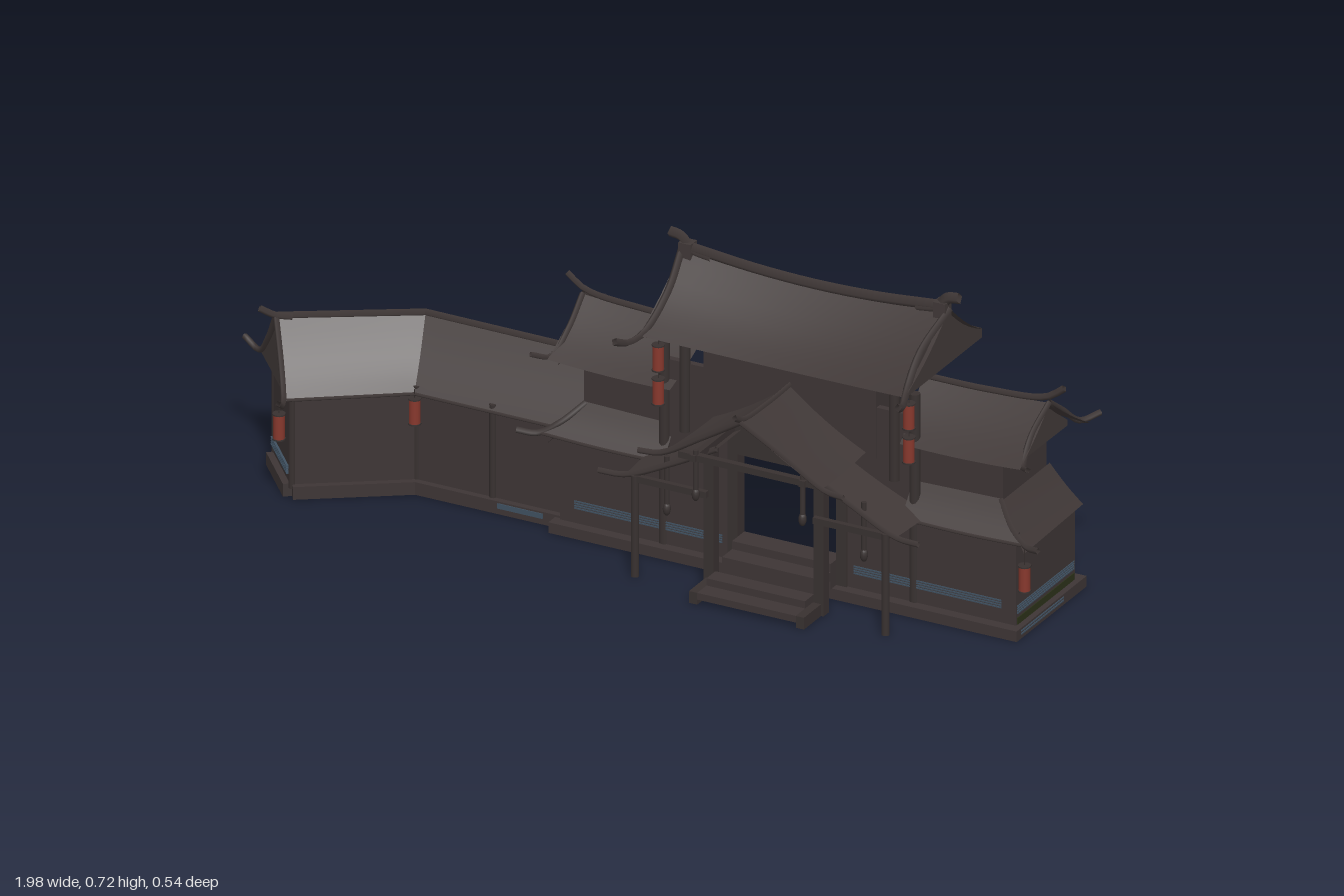
import * as THREE from 'three';

const mat = (name, color) => {
  const m = new THREE.MeshStandardMaterial({ color, side: THREE.DoubleSide });
  m.name = name;
  return m;
};
const V = (p) => new THREE.Vector3(...p);

export function createModel() {
  const roofMat = mat('dark roof', 0x403837);
  const wallMat = mat('dark wall', 0x3d3535);
  const woodMat = mat('dark timber', 0x383130);
  const redMat = mat('lantern red', 0x87382d);
  const blueMat = mat('faded blue', 0x3f5060);
  const mossMat = mat('moss green', 0x2b3119);

  const model = new THREE.Group();
  const hall = new THREE.Group();
  hall.name = 'gatehouse';
  hall.position.x = 0.35;
  const gallery = new THREE.Group();
  gallery.name = 'gallery';
  model.add(hall, gallery);

  const add = (parent, name, geo, m) => {
    const mesh = new THREE.Mesh(geo, m);
    mesh.name = name;
    parent.add(mesh);
    return mesh;
  };
  // box given by its limits on each axis
  const box = (parent, name, m, x0, x1, y0, y1, z0, z1) => {
    const b = add(parent, name, new THREE.BoxGeometry(Math.abs(x1 - x0), y1 - y0, Math.abs(z1 - z0)), m);
    b.position.set((x0 + x1) / 2, (y0 + y1) / 2, (z0 + z1) / 2);
  };
  // upright slab between two plan points [x, z]
  const slab = (parent, name, m, a, b, y0, y1, t) => {
    const dx = b[0] - a[0], dz = b[1] - a[1];
    const s = add(parent, name, new THREE.BoxGeometry(Math.hypot(dx, dz), y1 - y0, t), m);
    s.position.set((a[0] + b[0]) / 2, (y0 + y1) / 2, (a[1] + b[1]) / 2);
    s.rotation.y = -Math.atan2(dz, dx);
  };
  const post = (parent, name, x, z, y0, y1, r) => {
    const p = add(parent, name, new THREE.CylinderGeometry(r, r, y1 - y0, 10), woodMat);
    p.position.set(x, (y0 + y1) / 2, z);
  };
  // curved beam for ridges and verges
  const beam = (parent, name, pts, r) => add(parent, name,
    new THREE.TubeGeometry(new THREE.CatmullRomCurve3(pts.map(V)), 16, r, 4), roofMat);
  // roof slope between ridge a-b and eave c-d; ends lift and flare, the slope hangs hollow
  const slope = (parent, name, a, b, c, d, { lift = 0, flare = 0, hollow = 0 } = {}) => {
    const g = new THREE.PlaneGeometry(1, 1, 12, 6), p = g.attributes.position;
    for (let i = 0; i < p.count; i++) {
      const u = p.getX(i) + 0.5, v = 0.5 - p.getY(i), e = (2 * u - 1) ** 2 - 1;
      const q = V(a).lerp(V(b), u).lerp(V(c).lerp(V(d), u), v);
      q.y += lift * e - hollow * Math.sin(Math.PI * v);
      q.z += flare * e * v;
      p.setXYZ(i, q.x, q.y, q.z);
    }
    g.computeVertexNormals();
    return add(parent, name, g, roofMat);
  };
  // flat panel in the z-y plane at a given x
  const gable = (parent, name, x, pts) => {
    const s = new THREE.Shape(pts.map(([z, y]) => new THREE.Vector2(-z, y)));
    const m = add(parent, name, new THREE.ShapeGeometry(s), roofMat);
    m.rotation.y = Math.PI / 2;
    m.position.x = x;
  };
  const lantern = (x, y, z, cord = 0.03) => {
    const g = new THREE.Group();
    g.name = 'lantern';
    g.position.set(x, y, z);
    add(g, 'lanternBody', new THREE.CylinderGeometry(0.0125, 0.0125, 0.056, 12), redMat);
    for (const s of [-1, 1])
      add(g, 'lanternCap', new THREE.CylinderGeometry(0.0145, 0.0145, 0.003, 12), woodMat).position.y = s * 0.0295;
    add(g, 'lanternCord', new THREE.CylinderGeometry(0.001, 0.001, cord, 4), woodMat).position.y = 0.031 + cord / 2;
    model.add(g);
  };

  // plinth, steps and gate wall
  box(hall, 'plinth', wallMat, -0.57, 0.57, 0, 0.025, -0.01, 0.05);
  [[0.17, 0.212, 0.012, 0.028], [0.13, 0.17, 0.026, 0.045], [0.05, 0.1, 0.045, 0.066], [0.0, 0.055, 0.025, 0.085]]
    .forEach(([z0, z1, y0, y1]) => box(hall, 'step', wallMat, -0.12, 0.12, y0, y1, z0, z1));
  box(hall, 'gateLintel', woodMat, -0.13, 0.13, 0.28, 0.35, 0, 0.03);
  box(hall, 'upperGateWall', wallMat, -0.21, 0.21, 0.34, 0.53, 0.002, 0.018);
  box(hall, 'porchBeam', woodMat, -0.17, 0.17, 0.335, 0.35, 0.19, 0.205);

  // everything mirrored about the gate
  for (const s of [-1, 1]) {
    const q = (x, y, z) => [s * x, y, z];
    const sb = (name, m, x0, x1, ...r) => box(hall, name, m, s * x0, s * x1, ...r);

    // lower walls
    sb('sidePlinth', wallMat, 0.54, 0.57, 0, 0.025, -0.265, -0.01);
    sb('frontWall', wallMat, 0.13, 0.555, 0.025, 0.24, 0.008, 0.025);
    sb('innerWall', wallMat, 0.13, 0.3, 0.24, 0.46, 0, 0.015);
    sb('sideWall', wallMat, 0.547, 0.555, 0.025, 0.207, -0.24, 0.02);
    // painted bands of thin lines
    for (const y of [0.051, 0.0565, 0.062, 0.0675]) {
      sb('sideBlueLine', blueMat, 0.555, 0.557, y, y + 0.003, -0.235, 0.02);
      sb('frontBlueLine', blueMat, 0.16, 0.52, y + 0.008, y + 0.011, 0.025, 0.027);
    }
    for (const y of [0.01, 0.017])
      sb('plinthBlueLine', blueMat, 0.57, 0.572, y, y + 0.003, -0.16, 0.03);
    sb('mossBand', mossMat, 0.555, 0.557, 0.026, 0.042, -0.235, 0.02);

    // posts of the gate and porch
    sb('gatePost', woodMat, 0.12, 0.145, 0, 0.35, 0.0, 0.03);
    sb('porchPost', woodMat, 0.122, 0.146, 0, 0.335, 0.11, 0.135);
    sb('stepRail', woodMat, 0.12, 0.14, 0, 0.028, 0.135, 0.212);
    post(hall, 'outerPorchPost', s * 0.305, 0.15, 0, 0.24, 0.009);
    post(hall, 'tallPost', s * 0.305, 0.018, 0, 0.517, 0.012);
    post(hall, 'innerTallPost', s * 0.255, 0.018, 0.3, 0.515, 0.012);
    post(hall, 'pendantPost', s * 0.13, 0.2, 0.265, 0.36, 0.006);
    post(hall, 'sidePendant', s * 0.24, 0.127, 0.17, 0.29, 0.006);
    for (const [x, y, z] of [[0.13, 0.255, 0.2], [0.24, 0.165, 0.127]]) {
      const b = add(hall, 'pendantBud', new THREE.SphereGeometry(0.009, 10, 8), woodMat);
      b.scale.y = 1.8;
      b.position.set(s * x, y, z);
    }
    sb('sideBeam', woodMat, 0.13, 0.31, 0.225, 0.24, 0.143, 0.155);
    sb('crossBeam', woodMat, 0.3, 0.31, 0.225, 0.24, 0.02, 0.15);
    sb('porchBracket', woodMat, 0.126, 0.14, 0.335, 0.35, 0, 0.21);

    // lower wing roof wrapping round the corner
    slope(hall, 'lowerWingRoof', q(0.29, 0.3, 0), q(0.51, 0.305, 0), q(0.29, 0.232, 0.055), q(0.585, 0.237, 0.055), { hollow: 0.005 });
    slope(hall, 'lowerSideRoof', q(0.51, 0.303, 0), q(0.51, 0.303, -0.21), q(0.58, 0.205, 0.035), q(0.575, 0.207, -0.24), { hollow: 0.004 });
    beam(hall, 'lowerCorner', [q(0.505, 0.303, 0), q(0.55, 0.26, 0.035), q(0.595, 0.234, 0.055), q(0.635, 0.241, 0.075)], 0.007);
    beam(hall, 'lowerEave', [q(0.31, 0.232, 0.055), q(0.45, 0.231, 0.055), q(0.585, 0.235, 0.055)], 0.004);

    // wing upper storey and its roof
    sb('upperWingWall', wallMat, 0.29, 0.51, 0.29, 0.42, -0.012, 0);
    sb('upperSideWall', wallMat, 0.502, 0.51, 0.29, 0.39, -0.195, 0);
    sb('innerPanel', wallMat, 0.19, 0.2, 0.39, 0.497, -0.105, 0);
    slope(hall, 'upperWingRoof', q(0.26, 0.496, -0.1), q(0.57, 0.505, -0.1), q(0.28, 0.4, 0.04), q(0.575, 0.408, 0.045), { lift: 0.004, hollow: 0.006 });
    slope(hall, 'wingBackVerge', q(0.5, 0.498, -0.1), q(0.57, 0.504, -0.1), q(0.585, 0.404, -0.235), q(0.595, 0.406, -0.235), { hollow: 0.005 });
    gable(hall, 'wingGable', s * 0.55, [[0.045, 0.4], [-0.1, 0.498], [-0.215, 0.412], [-0.215, 0.398]]);
    beam(hall, 'wingRidge', [q(0.26, 0.501, -0.1), q(0.42, 0.503, -0.1), q(0.56, 0.517, -0.1), q(0.605, 0.547, -0.1)], 0.008);
    for (const k of [-1, 1])
      beam(hall, 'wingVerge', [[0.568, 0.506, 0], [0.563, 0.455, 0.073], [0.575, 0.41, 0.13], [0.605, 0.422, 0.165]]
        .map(([x, y, z]) => q(x, y, -0.1 + k * z)), 0.007);

    // main roof ends
    gable(hall, 'mainGable', s * 0.315, [[0.08, 0.533], [0.09, 0.545], [0, 0.607], [-0.095, 0.67], [-0.17, 0.608], [-0.265, 0.555], [-0.265, 0.533]]);
    slope(hall, 'mainBackVerge', q(0.28, 0.665, -0.1), q(0.33, 0.67, -0.1), q(0.32, 0.553, -0.265), q(0.335, 0.555, -0.265), { hollow: 0.012 });
    beam(hall, 'mainVerge', [q(0.325, 0.672, -0.1), q(0.308, 0.608, 0), q(0.32, 0.545, 0.09), q(0.335, 0.538, 0.13), q(0.345, 0.554, 0.168)], 0.009);
    beam(hall, 'ridgeHorn', [q(0.25, 0.665, -0.095), q(0.3, 0.675, -0.095), q(0.325, 0.7, -0.095), q(0.352, 0.705, -0.095)], 0.013);
    sb('ridgeEndBlock', roofMat, 0.295, 0.325, 0.648, 0.69, -0.11, -0.081);

    // porch roof, ridge running forward
    slope(hall, 'porchRoof', q(0, 0.465, 0.01), q(0, 0.472, 0.235), q(0.185, 0.35, 0.01), q(0.195, 0.354, 0.235), { lift: 0.004, hollow: 0.008 });
    beam(hall, 'porchVerge', [q(0, 0.472, 0.24), q(0.1, 0.408, 0.229), q(0.2, 0.351, 0.231), q(0.25, 0.349, 0.239)], 0.007);
    // side roofs of the porch
    slope(hall, 'porchSideRoof', q(0.11, 0.342, 0.01), q(0.11, 0.342, 0.145), q(0.34, 0.235, 0.01), q(0.33, 0.235, 0.15), { hollow: 0.006 });
    beam(hall, 'porchSideVerge', [q(0.11, 0.343, 0.145), q(0.22, 0.283, 0.144), q(0.33, 0.236, 0.151), q(0.39, 0.236, 0.159)], 0.007);

    // stacked lanterns beside the gate
    for (const y of [0.395, 0.475]) lantern(0.35 + s * 0.305, y, 0.045, 0.02);
  }

  // main roof and ridges
  slope(hall, 'mainRoof', [-0.325, 0.672, -0.1], [0.325, 0.672, -0.1], [-0.325, 0.545, 0.1], [0.325, 0.545, 0.1],
    { lift: 0.018, flare: 0.03, hollow: 0.012 });
  beam(hall, 'mainRidge', [[-0.3, 0.678, -0.095], [-0.15, 0.664, -0.095], [0, 0.659, -0.095], [0.15, 0.664, -0.095], [0.3, 0.678, -0.095]], 0.013);
  beam(hall, 'porchRidge', [[0, 0.468, 0], [0, 0.466, 0.12], [0, 0.474, 0.23], [0, 0.492, 0.265]], 0.007);

  // gallery: wall follows the bend, roof has a single front slope
  const wall = [[-0.2, 0], [-0.567, 0], [-0.79, 0.15], [-0.897, 0.028]];
  for (let i = 0; i < 3; i++) {
    slab(gallery, 'galleryWall', wallMat, wall[i], wall[i + 1], 0.03, 0.245, 0.01);
    slab(gallery, 'galleryBase', wallMat, wall[i], wall[i + 1], 0, 0.03, 0.04);
  }
  for (const [x, z] of [[-0.38, 0.004], ...wall.slice(1)])
    post(gallery, 'galleryPost', x, z, 0.02, 0.25, 0.008);
  for (const y of [0.048, 0.0535, 0.059, 0.0645])
    slab(gallery, 'endBlueLine', blueMat, [-0.802, 0.146], [-0.901, 0.033], y, y + 0.003, 0.008);
  box(gallery, 'baseBluePatch', blueMat, -0.36, -0.25, 0.014, 0.026, 0.02, 0.022);
  const ridge = [[-0.17, 0.372, -0.1], [-0.6, 0.374, -0.1], [-0.858, 0.388, 0.091]];
  const eave = [[-0.17, 0.237, 0.018], [-0.565, 0.237, 0.016], [-0.787, 0.24, 0.18]];
  for (let i = 0; i < 2; i++) {
    slope(gallery, 'galleryRoof', ridge[i], ridge[i + 1], eave[i], eave[i + 1], { hollow: 0.01 });
    beam(gallery, 'galleryRidge', [ridge[i], ridge[i + 1]], 0.009);
    beam(gallery, 'galleryEave', [eave[i], eave[i + 1]], 0.004);
  }
  // gallery end gable, back verge and upturned tips
  const end = new THREE.BufferGeometry().setFromPoints([[-0.854, 0.383, 0.089], [-0.942, 0.25, 0.01], [-0.792, 0.24, 0.172]].map(V));
  end.computeVertexNormals();
  add(gallery, 'galleryGable', end, roofMat);
  slope(gallery, 'galleryBackVerge', [-0.825, 0.383, 0.065], [-0.865, 0.388, 0.095], [-0.935, 0.25, 0], [-0.95, 0.25, 0.01], { hollow: 0.01 });
  beam(gallery, 'galleryFrontVerge', [[-0.86, 0.389, 0.093], [-0.823, 0.3, 0.138], [-0.792, 0.243, 0.185], [-0.777, 0.245, 0.22], [-0.769, 0.265, 0.25]], 0.007);
  beam(gallery, 'galleryBackTip', [[-0.86, 0.389, 0.093], [-0.903, 0.305, 0.051], [-0.943, 0.255, 0.015], [-0.99, 0.27, -0.005]], 0.007);
  beam(gallery, 'galleryFinial', [[-0.83, 0.384, 0.075], [-0.86, 0.39, 0.095], [-0.888, 0.408, 0.115]], 0.008);

  // hanging lanterns along the front
  lantern(-0.8, 0.18, 0.19);
  lantern(-0.563, 0.198, 0.018, 0.02);
  lantern(0.935, 0.152, 0.042, 0.05);
  return model;
}
